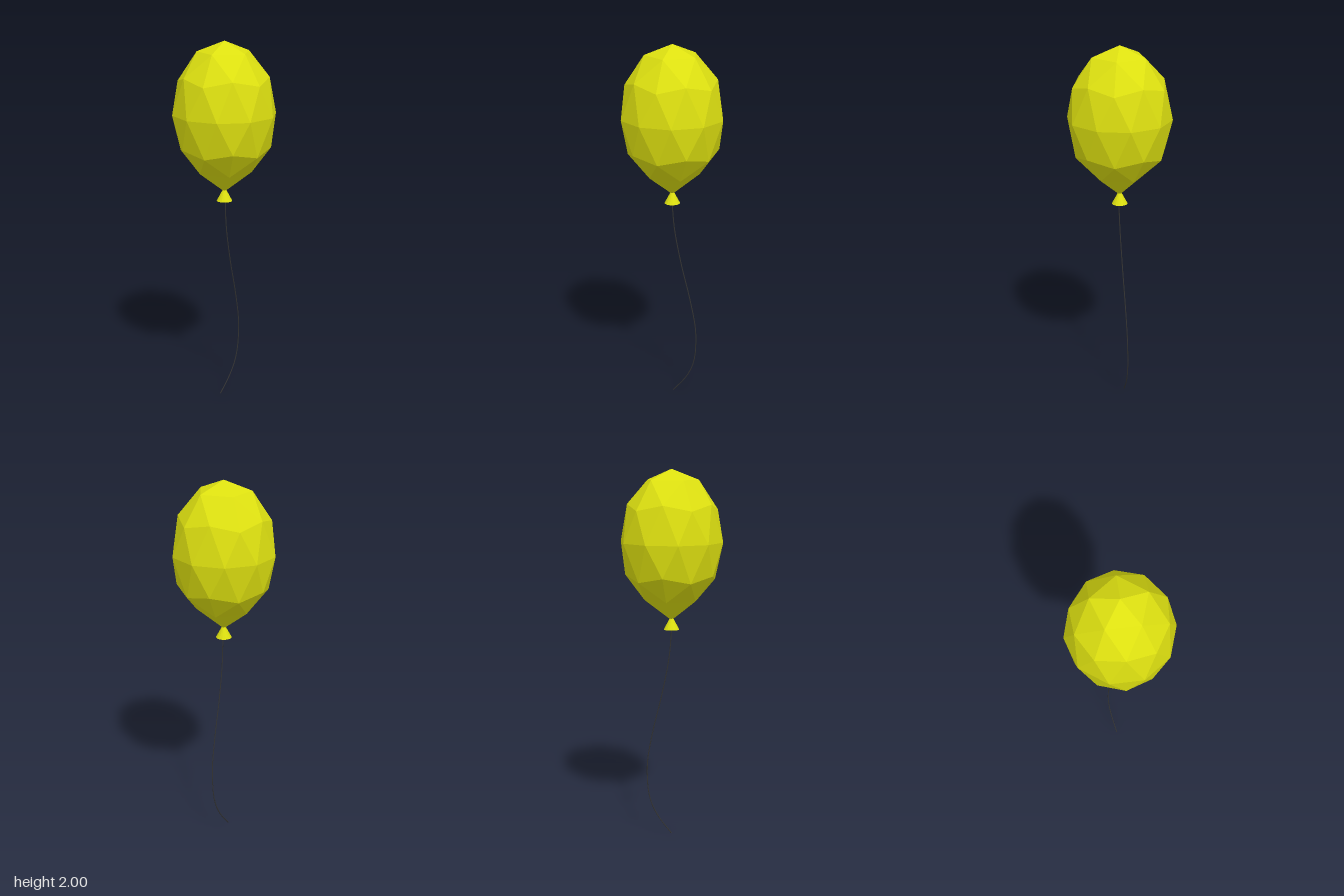
import * as THREE from 'three';

const yellow = new THREE.MeshStandardMaterial({ color: 0xdde010, flatShading: true });
const dark = new THREE.MeshStandardMaterial({ color: 0x333333 });

function part(name, geometry, material) {
  const mesh = new THREE.Mesh(geometry, material);
  mesh.name = name;
  return mesh;
}

// Faceted sphere with one corner straight up, stretched and drawn to a point below
function balloonGeometry() {
  const golden = (1 + Math.sqrt(5)) / 2;
  const geometry = new THREE.IcosahedronGeometry(1, 1);
  geometry.rotateZ(-Math.atan(1 / golden));
  const p = geometry.attributes.position;
  for (let i = 0; i < p.count; i++) {
    const y = p.getY(i);
    let height = 1.62 + 0.38 * y;
    if (y < -0.99) height = 1.2;
    else if (y < -0.8) height = 1.312;
    p.setXYZ(i, p.getX(i) * 0.276, height, p.getZ(i) * 0.276);
  }
  geometry.computeVertexNormals();
  return geometry;
}

export function createModel() {
  const model = new THREE.Group();
  model.name = 'balloon';

  model.add(part('balloonBody', balloonGeometry(), yellow));

  // Flared knot under the tip
  const knot = part('knot', new THREE.CylinderGeometry(0.01, 0.042, 0.06, 16), yellow);
  knot.position.y = 1.18;
  model.add(knot);

  // Hanging string, given as [y, z]; x drifts evenly to one side
  const path = [
    [1.16, 0], [1.0, -0.013], [0.8, -0.05], [0.6, -0.098], [0.42, -0.131],
    [0.31, -0.133], [0.23, -0.125], [0.16, -0.105], [0.085, -0.063], [0.002, 0.005],
  ].map(([y, z]) => new THREE.Vector3(-0.027 + 0.028 * y, y, z));
  const curve = new THREE.CatmullRomCurve3(path);
  model.add(part('string', new THREE.TubeGeometry(curve, 32, 0.003, 6), dark));

  return model;
}
